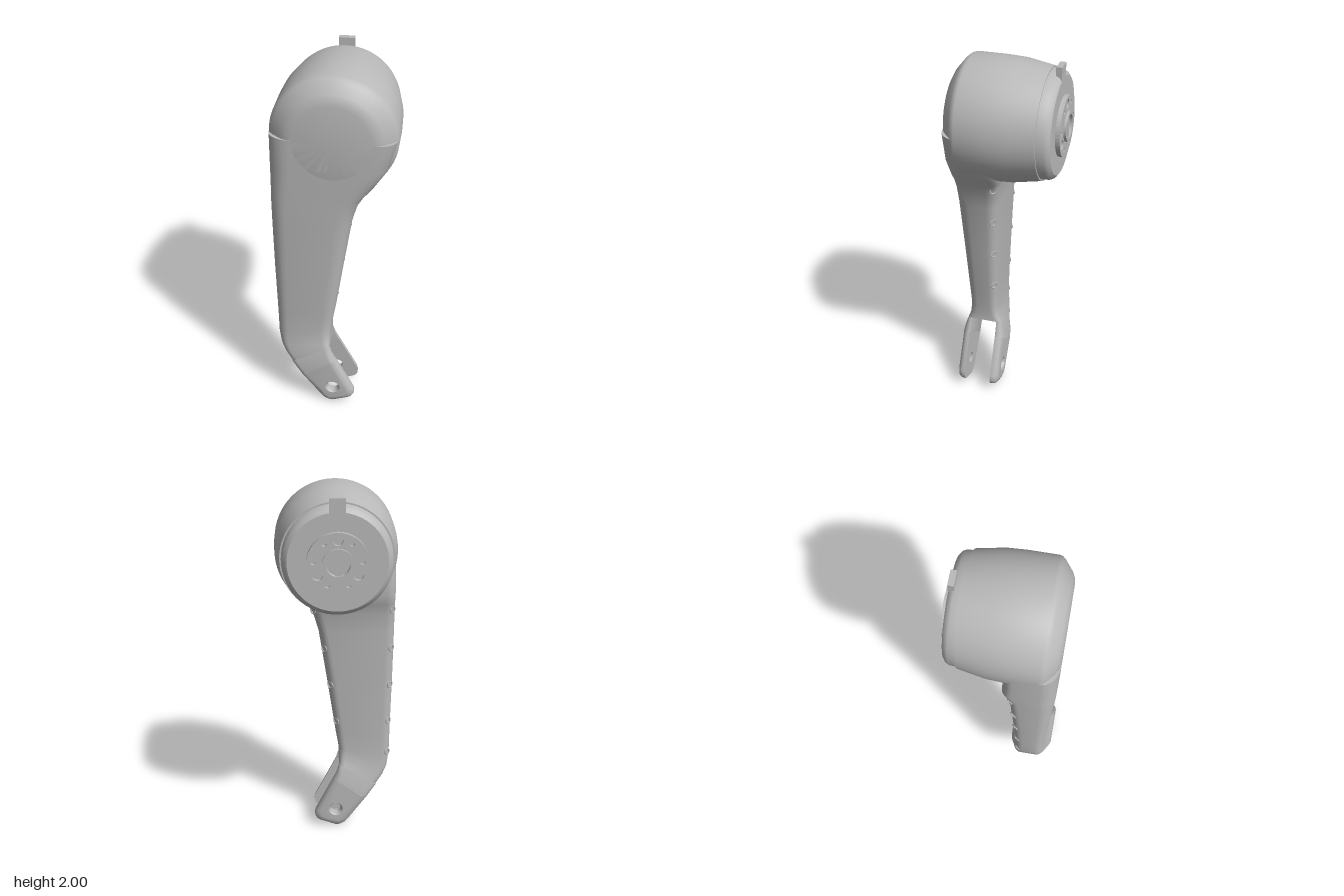
import * as THREE from 'three';
import { toCreasedNormals } from 'three/addons/utils/BufferGeometryUtils.js';

const HEAD_Y = 1.685;

// Loft through rounded sections: [leftX, leftY, rightX, rightY, zFront, zBack, frontRx, frontRz, backR]
function loft(sections) {
  const N = 5, pos = [], index = [];
  for (const [lx, ly, rx, ry, zf, zb, fx, fz, b] of sections) {
    const w = Math.hypot(rx - lx, ry - ly);
    const corners = [[w - fx, zf - fz, fx, fz], [fx, zf - fz, fx, fz], [b, zb + b, b, b], [w - b, zb + b, b, b]];
    corners.forEach(([cu, cz, ru, rz], q) => {
      for (let i = 0; i <= N; i++) {
        const a = (q + i / N) * Math.PI / 2;
        const t = (cu + ru * Math.cos(a)) / w;
        pos.push(lx + (rx - lx) * t, ly + (ry - ly) * t, cz + rz * Math.sin(a));
      }
    });
  }
  const M = 4 * (N + 1), last = (sections.length - 1) * M;
  for (let s = 0; s < last; s += M) {
    for (let i = 0; i < M; i++) {
      const j = (i + 1) % M;
      index.push(s + i, s + j, s + M + i, s + j, s + M + j, s + M + i);
    }
  }
  for (let i = 1; i < M - 1; i++) {
    index.push(0, i + 1, i, last, last + i, last + i + 1);
  }
  const g = new THREE.BufferGeometry();
  g.setAttribute('position', new THREE.Float32BufferAttribute(pos, 3));
  g.setIndex(index);
  return toCreasedNormals(g, 0.6);
}

// Lathe about the z axis, profile of [radius, z] from back to front
function turned(profile, segments = 64) {
  const g = new THREE.LatheGeometry(profile.map(p => new THREE.Vector2(...p)), segments);
  return toCreasedNormals(g.rotateX(Math.PI / 2), 0.5);
}

function circlePath(x, y, r) {
  return new THREE.Path().absarc(x, y, r, 0, Math.PI * 2, true);
}

// Drilled end of one fork tine; the outer face is rounded off and the hole countersunk
function tineEnd(side, z0, depth) {
  const shape = new THREE.Shape();
  shape.moveTo(-0.178, 0.183);
  shape.lineTo(-0.08, 0.05);
  shape.quadraticCurveTo(-0.045, 0.0, 0.0, 0.003);
  shape.lineTo(0.09, 0.036);
  shape.quadraticCurveTo(0.13, 0.055, 0.115, 0.105);
  shape.lineTo(0.01, 0.311);
  shape.closePath();
  shape.holes.push(circlePath(0, 0.12, 0.031));
  const g = new THREE.ExtrudeGeometry(shape, { depth, steps: 5, bevelEnabled: false, curveSegments: 10 });
  const p = g.attributes.position;
  for (let i = 0; i < p.count; i++) {
    const x = p.getX(i), y = p.getY(i) - 0.12, t = p.getZ(i) / depth;
    const k = Math.max(0, ((side > 0 ? t : 1 - t) - 0.2) / 0.8);
    const inset = 0.035 * (1 - Math.sqrt(Math.max(0, 1 - k * k)));
    const hole = Math.hypot(x, y) < 0.045;
    const u = x * 0.855 + y * 0.52;
    let v = x * 0.52 - y * 0.855;
    if (!hole) v = Math.max(v, 0);
    const len = Math.hypot(u, v) || 1;
    const m = (hole ? 0.28 : -1) * inset / len;
    p.setX(i, x + m * (u * 0.855 + v * 0.52));
    p.setY(i, y + 0.12 + m * (u * 0.52 - v * 0.855));
  }
  g.translate(0, 0, z0);
  return toCreasedNormals(g, 0.6);
}

export function createModel() {
  const model = new THREE.Group();
  const grey = new THREE.MeshStandardMaterial({ color: 0xbababa });
  grey.name = 'grey';
  const add = (name, geometry, x = 0, y = 0, z = 0) => {
    const mesh = new THREE.Mesh(geometry, grey);
    mesh.name = name;
    mesh.position.set(x, y, z);
    model.add(mesh);
    return mesh;
  };

  // Motor housing at the top
  add('headHousing', turned([[0, -0.195], [0.285, -0.195], [0.311, -0.05], [0.316, 0.05], [0.316, 0.2],
    [0.312, 0.215], [0.298, 0.231], [0.25, 0.27], [0.225, 0.283], [0.195, 0.289], [0, 0.289]]), 0, HEAD_Y);
  add('backCap', turned([[0, -0.261], [0.248, -0.261], [0.265, -0.249], [0.274, -0.232], [0.278, -0.18]]), 0, HEAD_Y);

  // Arm, blending into the head and bending at the ankle
  const arm = [
    [-0.316, 1.69, 0.314, 1.69, 0.289, 0.03, 0.11, 0.08, 0.05],
    [-0.317, 1.53, 0.272, 1.53, 0.289, 0.03, 0.11, 0.08, 0.05],
    [-0.317, 1.42, 0.2, 1.42, 0.288, 0.02, 0.1, 0.08, 0.05],
    [-0.317, 1.365, 0.154, 1.365, 0.287, 0.04, 0.09, 0.075, 0.05],
    [-0.317, 1.31, 0.121, 1.31, 0.286, 0.056, 0.085, 0.07, 0.05],
    [-0.317, 1.2, 0.09, 1.2, 0.283, 0.064, 0.08, 0.07, 0.05],
    [-0.314, 0.9, 0.044, 0.9, 0.271, 0.079, 0.07, 0.06, 0.05],
    [-0.308, 0.6, 0, 0.6, 0.26, 0.093, 0.06, 0.05, 0.045],
    [-0.306, 0.45, -0.019, 0.49, 0.256, 0.098, 0.055, 0.045, 0.04],
    [-0.294, 0.37, -0.021, 0.435, 0.26, 0.092, 0.045, 0.04, 0.036],
    [-0.27, 0.315, -0.022, 0.415, 0.267, 0.083, 0.04, 0.038, 0.036],
    [-0.235, 0.265, -0.021, 0.395, 0.275, 0.075, 0.036, 0.036, 0.036]];
  add('arm', loft(arm));

  // Fork tines flaring out from the arm, then the drilled ends
  const roots = [[-0.235, 0.265, -0.021, 0.395, 0], [-0.205, 0.222, -0.009, 0.352, 0.013], [-0.178, 0.183, 0.01, 0.311, 0.02]];
  add('frontTineRoot', loft(roots.map(([a, b, c, d, f]) => [a, b, c, d, 0.275 + f, 0.25, 0.035, 0.022 + f * 0.7, 0.002])));
  add('backTineRoot', loft(roots.map(([a, b, c, d, f]) => [a, b, c, d, 0.1, 0.075 - f, 0.002, 0.002, 0.022 + f * 0.7])));
  add('frontTineEnd', tineEnd(1, 0.25, 0.045));
  add('backTineEnd', tineEnd(-1, 0.055, 0.045));

  // Small screw sockets along the rear edges of the arm
  const socketAt = (y, side) => {
    const i = arm.findIndex(s => s[1] <= y);
    const a = arm[i - 1], b = arm[i], t = (a[1] - y) / (a[1] - b[1]);
    const mix = k => a[k] + (b[k] - a[k]) * t;
    const inset = mix(8) * 0.293;
    const ring = add('screwSocket', new THREE.TorusGeometry(0.017, 0.004, 6, 20),
      side > 0 ? mix(2) - inset : mix(0) + inset, y, mix(5) + inset);
    ring.rotation.y = side * Math.PI * 0.75;
  };
  for (const y of [1.33, 1.105, 0.885, 0.66]) socketAt(y, 1);
  for (const y of [1.33, 1.105, 0.885, 0.66, 0.46]) socketAt(y, -1);

  // Output flange with bolt holes
  const flange = new THREE.Shape().absarc(0, 0, 0.155, 0, Math.PI * 2, false);
  flange.holes.push(circlePath(0, 0, 0.07));
  for (let i = 0; i < 3; i++) {
    const a = Math.PI / 2 + i * Math.PI * 2 / 3;
    flange.holes.push(circlePath(0.115 * Math.cos(a), 0.115 * Math.sin(a), 0.025));
    for (const s of [-0.6, 0.6]) {
      flange.holes.push(circlePath(0.12 * Math.cos(a + s), 0.12 * Math.sin(a + s), 0.012));
    }
  }
  add('outputFlange', new THREE.ExtrudeGeometry(flange, { depth: 0.03, bevelEnabled: false, curveSegments: 24 }), 0, HEAD_Y, -0.284);

  // Hub ring with a cross bar
  const hub = new THREE.Shape().absarc(0, 0, 0.078, 0, Math.PI * 2, false);
  hub.holes.push(circlePath(0, 0, 0.06));
  add('hubRing', new THREE.ExtrudeGeometry(hub, { depth: 0.03, bevelEnabled: false, curveSegments: 24 }), 0, HEAD_Y, -0.297);
  add('hubBar', new THREE.BoxGeometry(0.03, 0.116, 0.03), 0, HEAD_Y, -0.275);

  // Locating tab on the rim of the cap
  add('locatingTab', new THREE.BoxGeometry(0.08, 0.075, 0.03), 0.002, 1.962, -0.246);

  return model;
}
